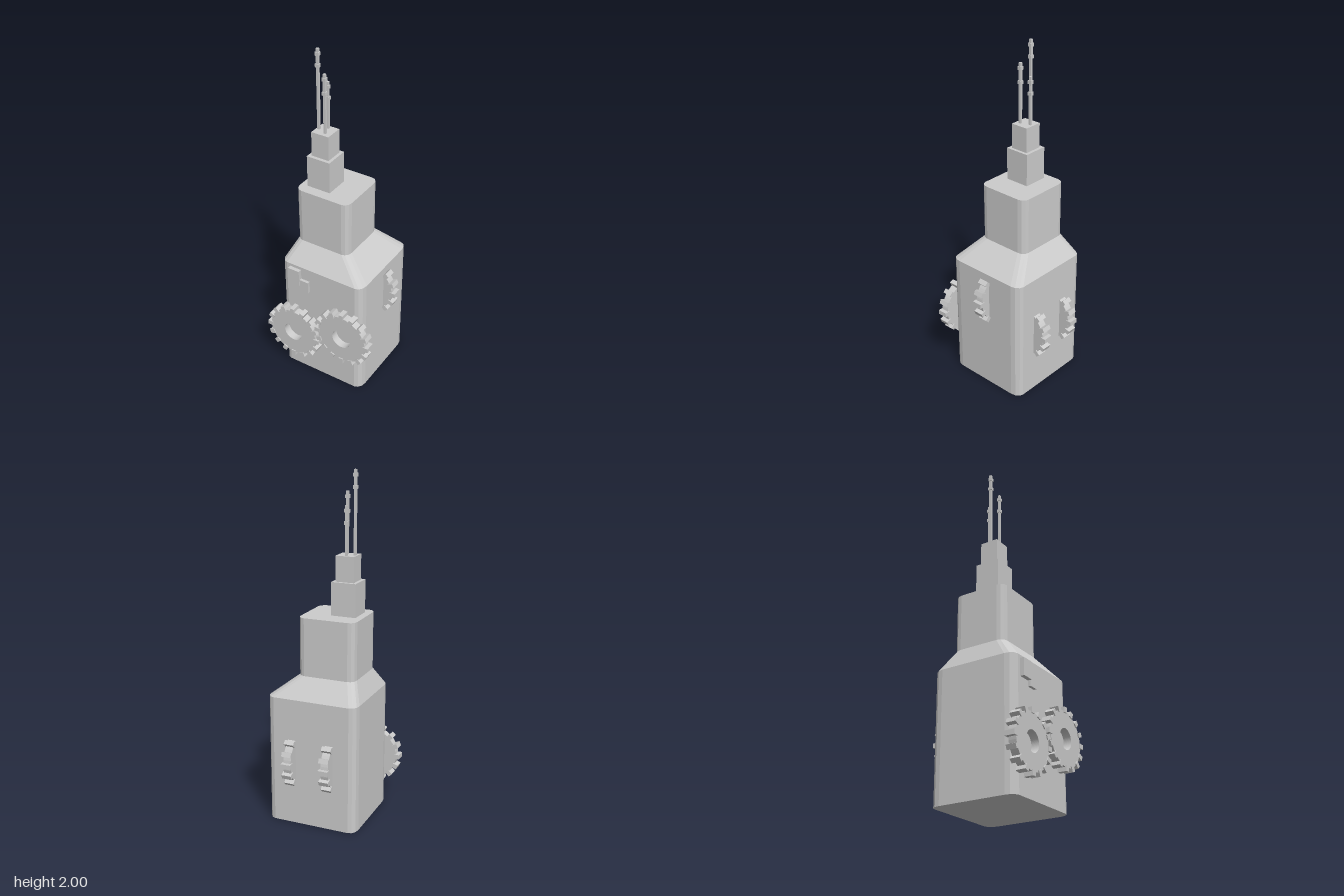
import * as THREE from 'three';

const material = new THREE.MeshStandardMaterial({ color: 0xcccccc, flatShading: true });

function add(parent, name, geometry, x = 0, y = 0, z = 0) {
  const mesh = new THREE.Mesh(geometry, material);
  mesh.name = name;
  mesh.position.set(x, y, z);
  parent.add(mesh);
  return mesh;
}

// Box given by its limits on each axis
function addBox(parent, name, [x0, x1], [y0, y1], [z0, z1]) {
  return add(parent, name, new THREE.BoxGeometry(x1 - x0, y1 - y0, z1 - z0),
    (x0 + x1) / 2, (y0 + y1) / 2, (z0 + z1) / 2);
}

// Horizontal rectangle with rounded corners, three facets per corner
function ring(y, x0, x1, z0, z1, rx, rz) {
  const points = [];
  const corners = [[x1 - rx, z1 - rz], [x0 + rx, z1 - rz], [x0 + rx, z0 + rz], [x1 - rx, z0 + rz]];
  corners.forEach(([cx, cz], c) => {
    for (let i = 0; i <= 3; i++) {
      const a = (c + i / 3) * Math.PI / 2;
      points.push([cx + rx * Math.cos(a), y, cz + rz * Math.sin(a)]);
    }
  });
  return points;
}

// Skin through a stack of rings, closed at both ends
function loft(rings) {
  const n = rings[0].length;
  const index = [];
  for (let r = 0; r < rings.length - 1; r++) {
    for (let i = 0; i < n; i++) {
      const j = (i + 1) % n;
      const a = r * n + i, b = r * n + j, c = a + n, d = b + n;
      index.push(a, c, b, b, c, d);
    }
  }
  const top = (rings.length - 1) * n;
  for (let i = 1; i < n - 1; i++) {
    index.push(0, i, i + 1, top, top + i + 1, top + i);
  }
  const geometry = new THREE.BufferGeometry();
  geometry.setAttribute('position', new THREE.Float32BufferAttribute(rings.flat(2), 3));
  geometry.setIndex(index);
  const flat = geometry.toNonIndexed();
  flat.computeVertexNormals();
  return flat;
}

// Gear facing +z: pierced disc with slightly thicker block teeth
function createGear(name) {
  const gear = new THREE.Group();
  gear.name = name;
  const root = 0.157, outer = 0.18, teeth = 16, thickness = 0.046;
  const shape = new THREE.Shape().absarc(0, 0, root, 0, Math.PI * 2, false);
  shape.holes.push(new THREE.Path().absarc(0, 0, 0.06, 0, Math.PI * 2, true));
  const disc = new THREE.ExtrudeGeometry(shape, { depth: thickness, bevelEnabled: false, curveSegments: 32 });
  add(gear, 'gearDisc', disc, 0, 0, -thickness / 2);
  for (let i = 0; i < teeth; i++) {
    const a = i / teeth * Math.PI * 2;
    const r = (root + outer) / 2 - 0.005;
    const tooth = add(gear, 'gearTooth', new THREE.BoxGeometry(outer - root + 0.01, 0.027, 0.058),
      r * Math.cos(a), r * Math.sin(a), 0);
    tooth.rotation.z = a;
  }
  return gear;
}

export function createModel() {
  const model = new THREE.Group();
  model.name = 'gearTower';

  // Tower body with sloped shoulder and offset neck
  const lower = [-0.27, 0.27, -0.24, 0.275, 0.042, 0.058];
  const upper = [-0.22, 0.12, -0.145, 0.18, 0.04, 0.045];
  add(model, 'towerBody', loft([
    ring(0, ...lower), ring(0.75, ...lower), ring(0.865, ...upper), ring(1.2, ...upper),
  ]));

  // Stepped chimney
  addBox(model, 'chimneyBase', [-0.179, -0.033], [1.19, 1.39], [-0.029, 0.118]);
  addBox(model, 'chimneyTop', [-0.16, -0.051], [1.38, 1.535], [-0.01, 0.098]);

  // Antennae, each a thin rod with two collars
  const antennae = [[-0.145, 0.045, 2, 0.095], [-0.107, 0.012, 1.81, 0.095], [-0.089, 0.069, 1.88, 0.11]];
  for (const [x, z, top, drop] of antennae) {
    const antenna = new THREE.Group();
    antenna.name = 'antenna';
    add(antenna, 'antennaRod', new THREE.BoxGeometry(0.014, top - 1.52, 0.014), x, (top + 1.52) / 2, z);
    for (const d of [0.03, drop]) {
      add(antenna, 'antennaCollar', new THREE.BoxGeometry(0.022, 0.02, 0.022), x, top - d, z);
    }
    model.add(antenna);
  }

  // Two meshing gears on the front, one half-sunk on the left side, two on the back
  const gears = [
    ['frontGearRight', -0.17, 0.28, 0.299, 0],
    ['frontGearLeft', 0.167, 0.385, 0.299, 0],
    ['sideGear', 0.168, 0.58, 0.006, 0],
    ['backGearRight', -0.112, 0.38, -0.15, Math.PI / 2],
    ['backGearLeft', 0.115, 0.38, -0.15, Math.PI / 2],
  ];
  for (const [name, x, y, z, turn] of gears) {
    const gear = createGear(name);
    gear.position.set(x, y, z);
    gear.rotation.y = turn;
    model.add(gear);
  }

  // Small plates on the front
  addBox(model, 'frontPlateLarge', [-0.207, -0.131], [0.63, 0.732], [0.26, 0.299]);
  addBox(model, 'frontPlateSmall', [-0.133, -0.074], [0.596, 0.67], [0.26, 0.292]);

  return model;
}
